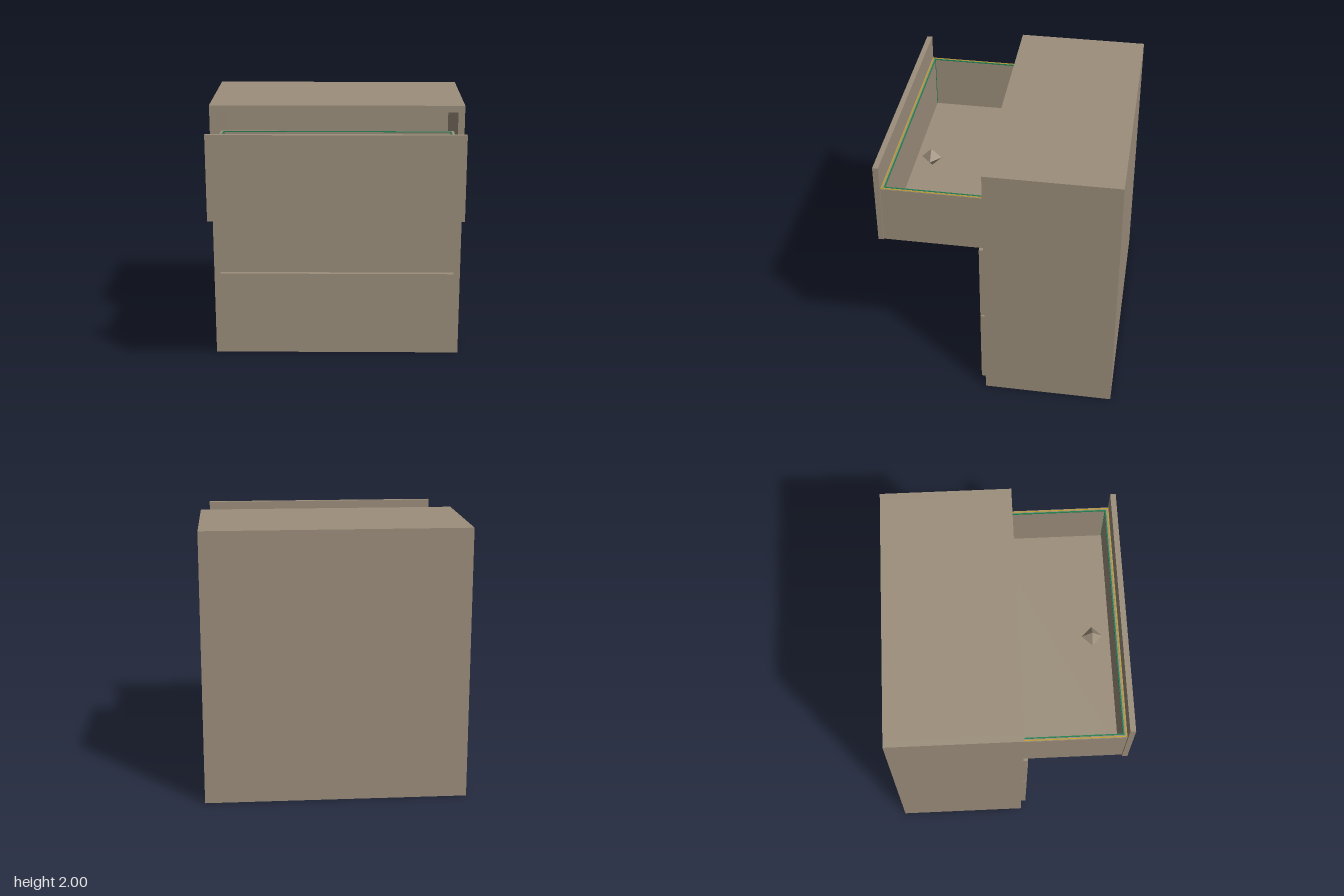
import * as THREE from 'three';

export function createModel() {
  const wood = new THREE.MeshStandardMaterial({ color: 0x9c8e7b });
  wood.name = 'wood';
  const green = new THREE.MeshStandardMaterial({ color: 0x1f7f50 });
  green.name = 'greenEdge';
  const yellow = new THREE.MeshStandardMaterial({ color: 0xc2a024 });
  yellow.name = 'yellowEdge';

  const model = new THREE.Group();
  model.name = 'drawerChest';

  // Box given by its lower and upper corners
  function box(parent, name, mat, [x0, y0, z0], [x1, y1, z1]) {
    const mesh = new THREE.Mesh(new THREE.BoxGeometry(x1 - x0, y1 - y0, z1 - z0), mat);
    mesh.position.set((x0 + x1) / 2, (y0 + y1) / 2, (z0 + z1) / 2);
    mesh.name = name;
    parent.add(mesh);
    return mesh;
  }

  // Flat rectangular outline lying on a rim
  function outline(parent, name, mat, hx, z0, z1, y, w) {
    const t = 0.003, h = w / 2;
    for (const s of [-1, 1])
      box(parent, name, mat, [s * hx - h, y - t, z0 - h], [s * hx + h, y + t, z1 + h]);
    for (const z of [z0, z1])
      box(parent, name, mat, [-hx, y - t, z - h], [hx, y + t, z + h]);
  }

  // Hollow carcass, open to the front
  const carcass = new THREE.Group();
  carcass.name = 'carcass';
  model.add(carcass);
  const zb = -0.86, zf = 0.1, t = 0.05;
  for (const s of [-1, 1])
    box(carcass, 'sidePanel', wood, [s > 0 ? 0.91 : -0.96, 0, zb], [s > 0 ? 0.96 : -0.91, 2, zf]);
  box(carcass, 'topPanel', wood, [-0.91, 2 - t, zb], [0.91, 2, zf]);
  box(carcass, 'bottomPanel', wood, [-0.91, 0, zb], [0.91, t, zf]);
  box(carcass, 'backPanel', wood, [-0.91, t, zb], [0.91, 2 - t, zb + t]);

  // Drawer with its front panel starting at z = 0 and its box behind
  function drawer(name, y, z) {
    const g = new THREE.Group();
    g.name = name;
    g.position.set(0, y, z);
    model.add(g);
    box(g, 'drawerFront', wood, [-0.908, 0, 0], [0.908, 0.622, 0.04]);
    const lo = -0.004, hi = 0.438, back = -0.9, w = 0.025;
    for (const s of [-1, 1])
      box(g, 'drawerSide', wood, [s > 0 ? 0.87 : -0.895, lo, back], [s > 0 ? 0.895 : -0.87, hi, 0]);
    box(g, 'drawerBack', wood, [-0.87, lo, back], [0.87, hi, back + w]);
    box(g, 'drawerInnerFront', wood, [-0.87, lo, -w], [0.87, hi, 0]);
    box(g, 'drawerFloor', wood, [-0.87, lo, back + w], [0.87, lo + w, -w]);
    return g;
  }
  drawer('bottomDrawer', 0.055, zf);
  drawer('middleDrawer', 0.69, zf);
  const open = drawer('openDrawer', 1.328, 0.825);

  // Coloured edge lines around the open drawer's rim and inner corners
  outline(open, 'innerRimLine', green, 0.87, -0.875, -0.025, 0.438, 0.009);
  outline(open, 'outerRimLine', yellow, 0.886, -0.724, -0.006, 0.437, 0.007);
  for (const x of [-0.87, 0.87])
    for (const z of [-0.875, -0.025])
      box(open, 'innerCornerLine', green, [x - 0.004, 0.021, z - 0.004], [x + 0.004, 0.438, z + 0.004]);

  // Small faceted knob lying in the open drawer
  const knob = new THREE.Mesh(new THREE.OctahedronGeometry(0.075), wood);
  knob.name = 'knob';
  knob.position.set(0, 0.1, -0.163);
  open.add(knob);

  return model;
}
